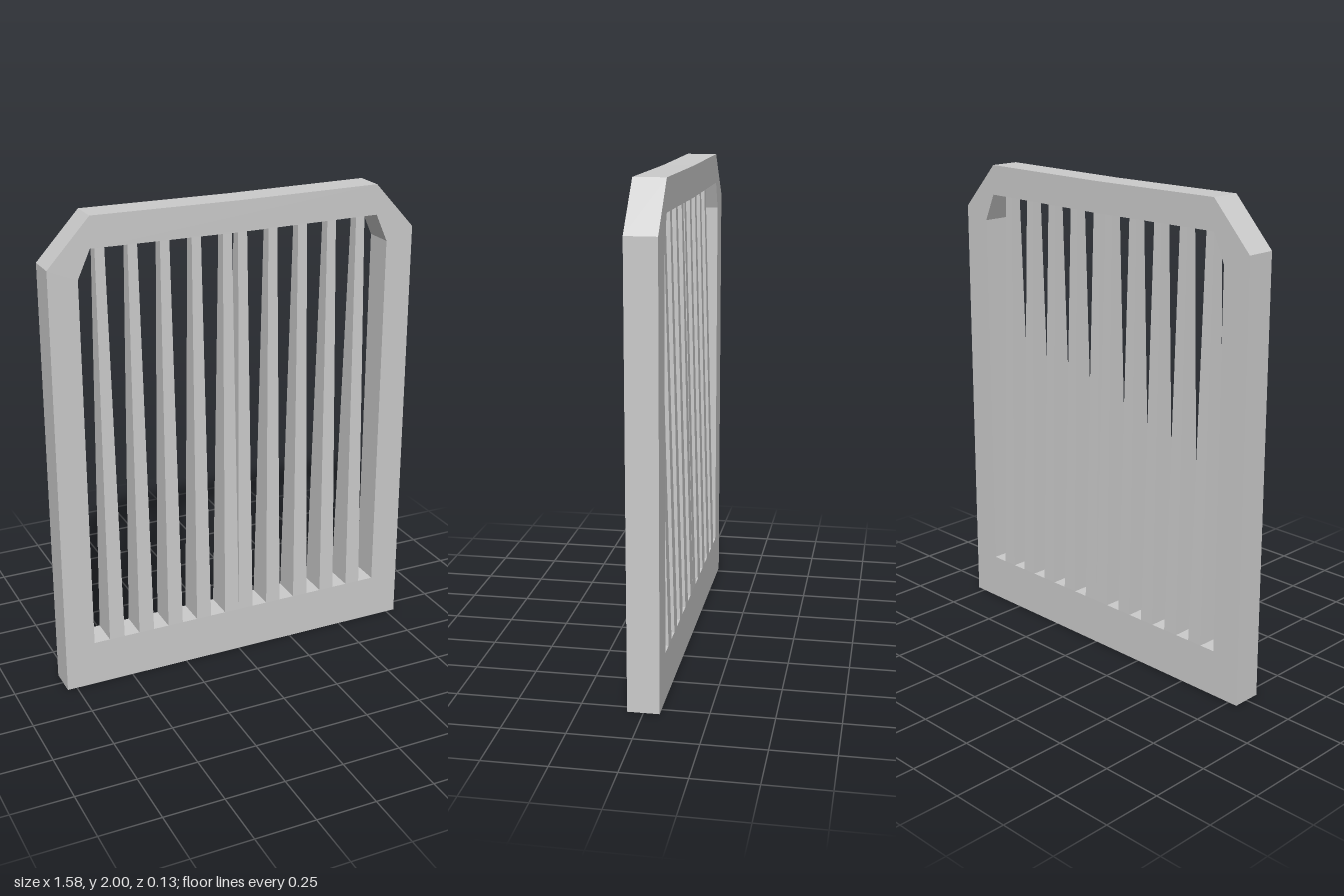
import * as THREE from 'three';

const HALF_DEPTH = 0.063;
const SILL = 0.195, LINTEL = 1.875;
const BARS_PER_SIDE = 5, PITCH = 0.1325;

const material = new THREE.MeshStandardMaterial({ color: 0xcccccc, flatShading: true });

// Closed outline from the right half, mirrored to the left
function mirroredPath(PathClass, half) {
  const left = half.map(([x, y]) => [-x, y]).reverse();
  return new PathClass([...half, ...left].map(([x, y]) => new THREE.Vector2(x, y)));
}

// Chamfered slab with one large opening
function makeFrame() {
  const outline = mirroredPath(THREE.Shape, [[0.79, 0], [0.787, 1.81], [0.612, 2], [0, 1.996]]);
  outline.holes.push(mirroredPath(THREE.Path, [[0.664, SILL], [0.667, 1.76], [0.615, LINTEL], [0, 1.87]]));
  const geometry = new THREE.ExtrudeGeometry(outline, { depth: 2 * HALF_DEPTH, bevelEnabled: false });
  geometry.translate(0, 0, -HALF_DEPTH);
  const frame = new THREE.Mesh(geometry, material);
  frame.name = 'frame';
  return frame;
}

// Bar that is wide and flush at the sill and slim under the lintel
function makeBar(x) {
  const bottom = { w: 0.066, d: 2 * HALF_DEPTH };
  const top = { w: 0.039, d: 0.042 };
  const geometry = new THREE.BoxGeometry(1, 1, 1);
  const p = geometry.attributes.position;
  for (let i = 0; i < p.count; i++) {
    const upper = p.getY(i) > 0;
    const end = upper ? top : bottom;
    p.setXYZ(i, p.getX(i) * end.w, upper ? LINTEL : SILL, p.getZ(i) * end.d);
  }
  geometry.computeVertexNormals();
  const bar = new THREE.Mesh(geometry, material);
  bar.position.x = x;
  return bar;
}

export function createModel() {
  const model = new THREE.Group();
  model.name = 'gratedPanel';
  model.add(makeFrame());

  // Bars mirrored about the centre; the inner pair nearly meets
  const bars = new THREE.Group();
  bars.name = 'bars';
  for (const side of [-1, 1]) {
    for (let i = 0; i < BARS_PER_SIDE; i++) {
      const bar = makeBar(side * (0.033 + i * PITCH));
      bar.name = (side > 0 ? 'leftBar' : 'rightBar') + (i + 1);
      bars.add(bar);
    }
  }
  model.add(bars);
  return model;
}
